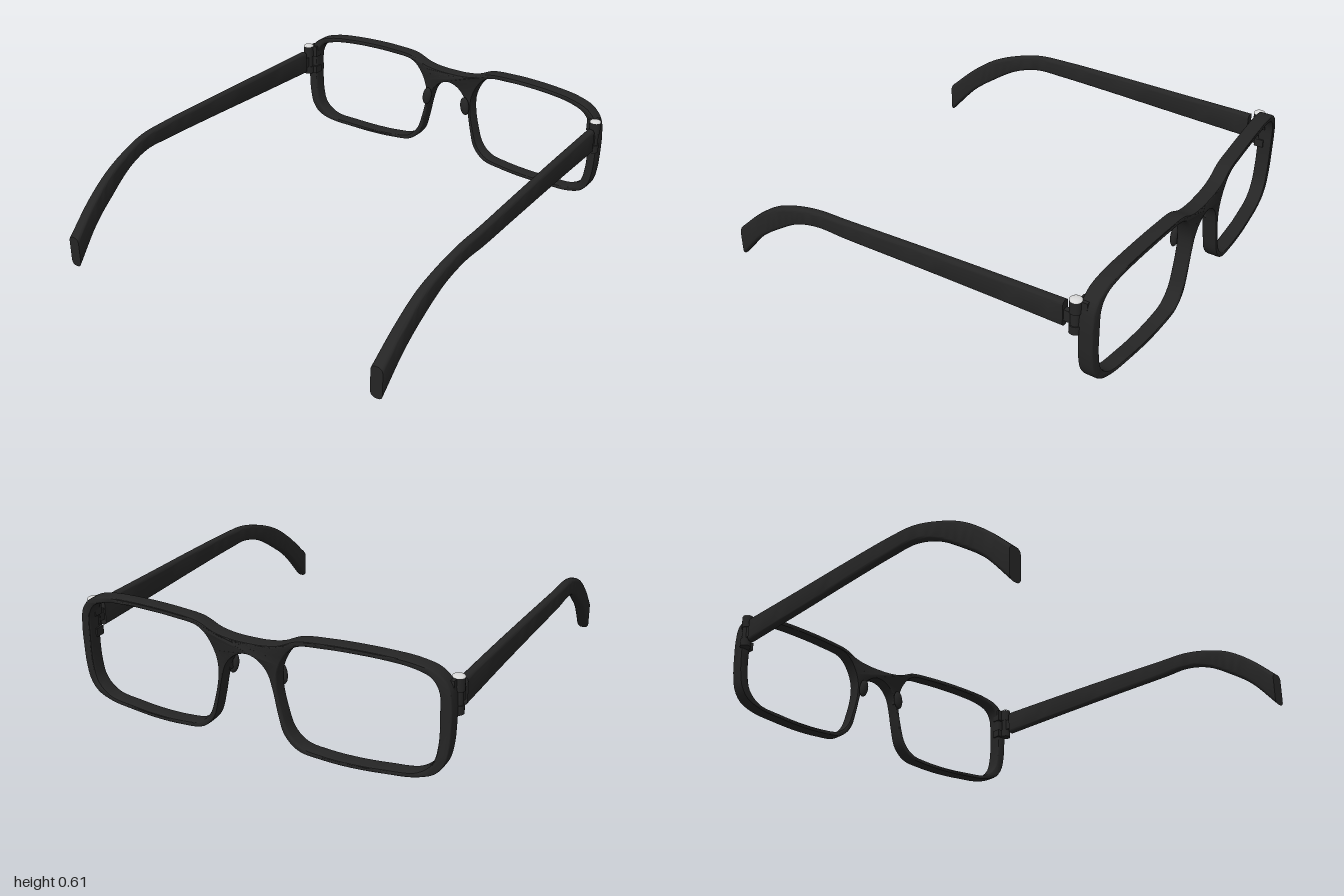
import * as THREE from 'three';
import { toCreasedNormals } from 'three/addons/utils/BufferGeometryUtils.js';

// Closed smooth outline sampled from a few points
function outline(points, count) {
  const curve = new THREE.CatmullRomCurve3(points.map(([x, y]) => new THREE.Vector3(x, y, 0)), true, 'centripetal');
  return curve.getSpacedPoints(count).slice(0, count).map((p) => new THREE.Vector2(p.x, p.y));
}

// Both rims and the bridge as one plate with two lens openings, bowed backwards
function frontGeometry() {
  const half = [
    [0.07, 0.547], [0.15, 0.56], [0.235, 0.595], [0.36, 0.607], [0.48, 0.61], [0.62, 0.606], [0.74, 0.594],
    [0.83, 0.565], [0.88, 0.51], [0.894, 0.43], [0.894, 0.33], [0.888, 0.24], [0.87, 0.165], [0.83, 0.115],
    [0.75, 0.086], [0.62, 0.075], [0.48, 0.07], [0.35, 0.076], [0.235, 0.095], [0.172, 0.155], [0.143, 0.25],
    [0.122, 0.35], [0.098, 0.425], [0.055, 0.472],
  ];
  const hole = [
    [0.145, 0.44], [0.185, 0.525], [0.235, 0.568], [0.36, 0.582], [0.48, 0.585], [0.62, 0.581], [0.73, 0.568],
    [0.805, 0.54], [0.838, 0.49], [0.845, 0.38], [0.842, 0.25], [0.82, 0.165], [0.755, 0.112], [0.62, 0.097],
    [0.48, 0.092], [0.35, 0.098], [0.25, 0.116], [0.194, 0.168], [0.163, 0.255], [0.142, 0.36],
  ];
  const flip = (pts) => pts.map(([x, y]) => [-x, y]).reverse();
  const shape = new THREE.Shape(outline([[0, 0.545], ...half, [0, 0.49], ...flip(half)], 260));
  for (const pts of [hole, flip(hole)]) shape.holes.push(new THREE.Path(outline(pts, 110).reverse()));
  const geo = new THREE.ExtrudeGeometry(shape, {
    depth: 0.046, bevelThickness: 0.012, bevelSize: 0.005, bevelOffset: -0.005, bevelSegments: 3,
  });
  const pos = geo.attributes.position;
  for (let i = 0; i < pos.count; i++) {
    const x = pos.getX(i);
    pos.setZ(i, pos.getZ(i) - 0.988 + 0.07 * x * x);
  }
  return toCreasedNormals(geo, 0.6);
}

// Temple arm lofted through rounded rectangles
function templeGeometry(side) {
  // z, top, bottom, distance from centre, width
  const stations = [
    [-0.81, 0.502, 0.378, 0.885, 0.041], [-0.4, 0.494, 0.382, 0.893, 0.04], [0, 0.485, 0.385, 0.904, 0.04],
    [0.3, 0.475, 0.385, 0.911, 0.041], [0.45, 0.466, 0.383, 0.908, 0.042], [0.59, 0.431, 0.341, 0.897, 0.044],
    [0.73, 0.373, 0.254, 0.884, 0.048], [0.86, 0.283, 0.155, 0.874, 0.053], [1, 0.155, 0, 0.861, 0.06],
  ];
  const column = (k) => new THREE.CatmullRomCurve3(stations.map((s) => new THREE.Vector3(s[0], s[k], 0)));
  const [top, bottom, mid, width] = [1, 2, 3, 4].map(column);
  const steps = 48, corner = 6, ring = corner * 4;
  const verts = [], index = [];
  for (let i = 0; i <= steps; i++) {
    const t = i / steps;
    const z = top.getPoint(t).x, yt = top.getPoint(t).y, yb = bottom.getPoint(t).y;
    const cx = side * mid.getPoint(t).y, w = width.getPoint(t).y / 2;
    const cy = (yt + yb) / 2, h = (yt - yb) / 2, r = w * 0.8;
    for (let j = 0; j < ring; j++) {
      const q = Math.floor(j / corner);
      const a = (q + (j % corner) / (corner - 1)) * Math.PI / 2;
      const sx = q === 0 || q === 3 ? 1 : -1, sy = q < 2 ? 1 : -1;
      verts.push(cx + sx * (w - r) + r * Math.cos(a), cy + sy * (h - r) + r * Math.sin(a), z);
    }
  }
  for (let i = 0; i < steps; i++) {
    for (let j = 0; j < ring; j++) {
      const a = i * ring + j, b = i * ring + (j + 1) % ring;
      index.push(a, b, a + ring, b, b + ring, a + ring);
    }
  }
  // end caps
  const last = steps * ring;
  for (let j = 1; j < ring - 1; j++) index.push(0, j + 1, j, last, last + j, last + j + 1);
  const geo = new THREE.BufferGeometry();
  geo.setAttribute('position', new THREE.Float32BufferAttribute(verts, 3));
  geo.setIndex(index);
  return toCreasedNormals(geo, 0.6);
}

export function createModel() {
  const group = new THREE.Group();
  const black = new THREE.MeshStandardMaterial({ color: 0x252525 });
  black.name = 'black plastic';
  const silver = new THREE.MeshStandardMaterial({ color: 0xd8d8d8 });
  silver.name = 'silver metal';

  const add = (name, geo, mat, x = 0, y = 0, z = 0) => {
    const mesh = new THREE.Mesh(geo, mat);
    mesh.name = name;
    mesh.position.set(x, y, z);
    group.add(mesh);
    return mesh;
  };

  add('frontFrame', frontGeometry(), black);

  for (const side of [1, -1]) {
    const label = side > 0 ? 'left' : 'right';
    add(label + 'Temple', templeGeometry(side), black);

    // nose pad
    const pad = add(label + 'NosePad', new THREE.SphereGeometry(1, 24, 16), black, side * 0.118, 0.392, -0.908);
    pad.scale.set(0.025, 0.05, 0.018);
    pad.rotation.z = side * 0.15;
    add(label + 'NosePadArm', new THREE.BoxGeometry(0.014, 0.03, 0.04), black, side * 0.118, 0.39, -0.93);

    // hinge: upper and lower knuckles on the frame, middle one on the temple
    const x = side * 0.885;
    for (const [y, h] of [[0.495, 0.06], [0.385, 0.04]]) {
      add(label + 'FrameKnuckle', new THREE.CylinderGeometry(0.027, 0.027, h, 20), black, x, y, -0.858);
      add(label + 'HingePlate', new THREE.BoxGeometry(0.05, h, 0.045), black, side * 0.862, y, -0.888);
    }
    add(label + 'TempleKnuckle', new THREE.CylinderGeometry(0.022, 0.022, 0.062, 20), black, x, 0.435, -0.858);
    add(label + 'TempleTang', new THREE.BoxGeometry(0.026, 0.055, 0.06), black, x, 0.434, -0.83);

    // domed screw head
    const cap = add(label + 'HingeScrew', new THREE.SphereGeometry(0.028, 20, 8, 0, Math.PI * 2, 0, Math.PI / 2), silver, x, 0.525, -0.858);
    cap.scale.y = 0.35;
  }
  return group;
}
